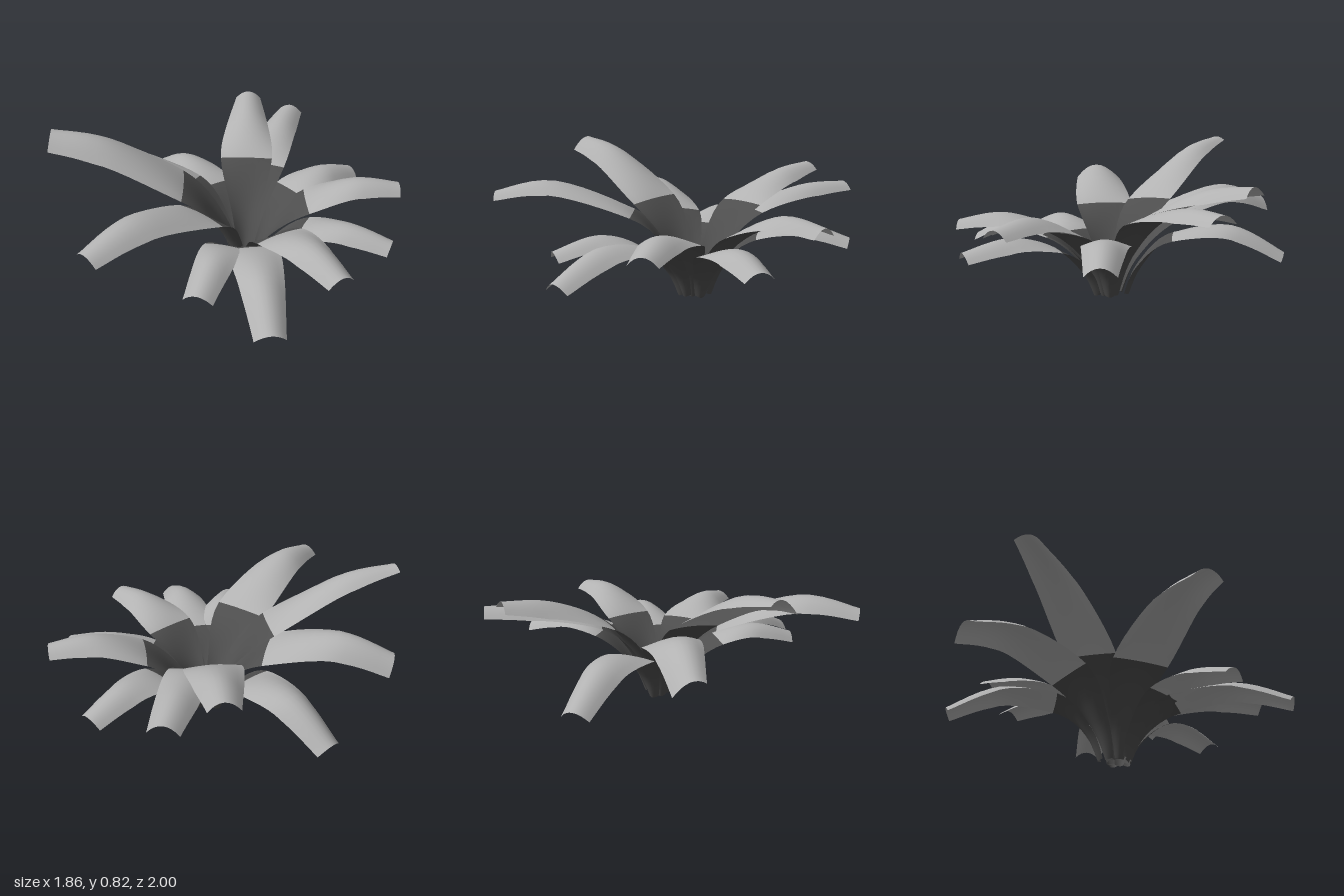
import * as THREE from 'three';

const ROWS = 24, COLS = 8;
const HEART = { x: 0.085, z: -0.04 };

// tip x/z, heights at mid, shoulder and tip, width scale, root radius, sideways roll
const LEAVES = [
  { tip: [0.06, -1.0], y: [0.46, 0.575, 0.585], w: 0.85, root: 0.06, roll: 0 },
  { tip: [-0.195, -0.9], y: [0.49, 0.64, 0.68], w: 1, root: 0.05, roll: 0 },
  { tip: [0.53, -0.74], y: [0.35, 0.42, 0.35], w: 0.83, root: 0.09, roll: 0 },
  { tip: [-0.67, -0.6], y: [0.34, 0.40, 0.26], w: 0.9, root: 0.1, roll: 0 },
  { tip: [0.88, -0.365], y: [0.39, 0.515, 0.49], w: 0.9, root: 0.07, roll: 0 },
  { tip: [0.92, -0.015], y: [0.3, 0.37, 0.32], w: 0.85, root: 0.1, roll: 0 },
  { tip: [0.765, 0.495], y: [0.36, 0.445, 0.4], w: 0.95, root: 0.07, roll: 0 },
  { tip: [0.52, 0.84], y: [0.31, 0.37, 0.25], w: 0.9, root: 0.09, roll: 0 },
  { tip: [0.12, 0.76], y: [0.31, 0.375, 0.31], w: 0.77, root: 0.1, roll: 0 },
  { tip: [-0.345, 0.97], y: [0.46, 0.63, 0.575], w: 1.05, root: 0.06, roll: 0 },
  { tip: [-0.885, 0.33], y: [0.5, 0.755, 0.815], w: 1, root: 0.05, roll: 0.03 },
  { tip: [-0.935, -0.1], y: [0.43, 0.565, 0.48], w: 0.95, root: 0.07, roll: -0.03 },
];

// half width along the blade, at even steps from root to tip
const widths = new THREE.SplineCurve(
  [0.03, 0.075, 0.152, 0.122, 0.078].map((h, i) => new THREE.Vector2(i / 4, h)));

function leafGeometry({ tip, y, w, root, roll }) {
  const dx = tip[0] - HEART.x, dz = tip[1] - HEART.z;
  const reach = Math.hypot(dx, dz), c = dx / reach, s = dz / reach;
  // midrib in (radius, height)
  const midrib = new THREE.SplineCurve([
    new THREE.Vector2(root, 0),
    new THREE.Vector2(0.1 + root * 0.7, y[0] * 0.46),
    new THREE.Vector2(0.34, y[0]),
    new THREE.Vector2(reach * 0.7, y[1]),
    new THREE.Vector2(reach, y[2]),
  ]);
  const pos = [], index = [];
  for (let i = 0; i <= ROWS; i++) {
    const t = i / ROWS;
    const p = midrib.getPoint(t), d = midrib.getTangent(t);
    const half = widths.getPoint(t).y * THREE.MathUtils.lerp(1, w, Math.sin(Math.PI * t));
    // channelled at the root, arched towards the tip
    const cup = THREE.MathUtils.lerp(0.8, -0.6, Math.min(1, t * 1.25));
    for (let j = 0; j <= COLS; j++) {
      const u = (j / COLS) * 2 - 1;
      const lift = cup * half * u * u;
      const r = p.x - d.y * lift;
      const h = p.y + d.x * lift + roll * u * t;
      pos.push(HEART.x + c * r - s * u * half, Math.max(0, h), HEART.z + s * r + c * u * half);
      if (i < ROWS && j < COLS) {
        const a = i * (COLS + 1) + j, b = a + COLS + 1;
        index.push(a, a + 1, b, a + 1, b + 1, b);
      }
    }
  }
  const geo = new THREE.BufferGeometry();
  geo.setAttribute('position', new THREE.Float32BufferAttribute(pos, 3));
  geo.setIndex(index);
  geo.computeVertexNormals();
  // dark lower half, pale upper half
  geo.addGroup(0, index.length / 2, 0);
  geo.addGroup(index.length / 2, index.length / 2, 1);
  return geo;
}

export function createModel() {
  const dark = new THREE.MeshStandardMaterial({ color: 0x4e4e4e, side: THREE.DoubleSide });
  dark.name = 'dark grey leaf base';
  const pale = new THREE.MeshStandardMaterial({ color: 0xb2b2b2, side: THREE.DoubleSide });
  pale.name = 'pale grey leaf blade';

  const plant = new THREE.Group();
  plant.name = 'rosettePlant';
  LEAVES.forEach((leaf, i) => {
    const mesh = new THREE.Mesh(leafGeometry(leaf), [dark, pale]);
    mesh.name = `leaf${i + 1}`;
    plant.add(mesh);
  });
  return plant;
}
